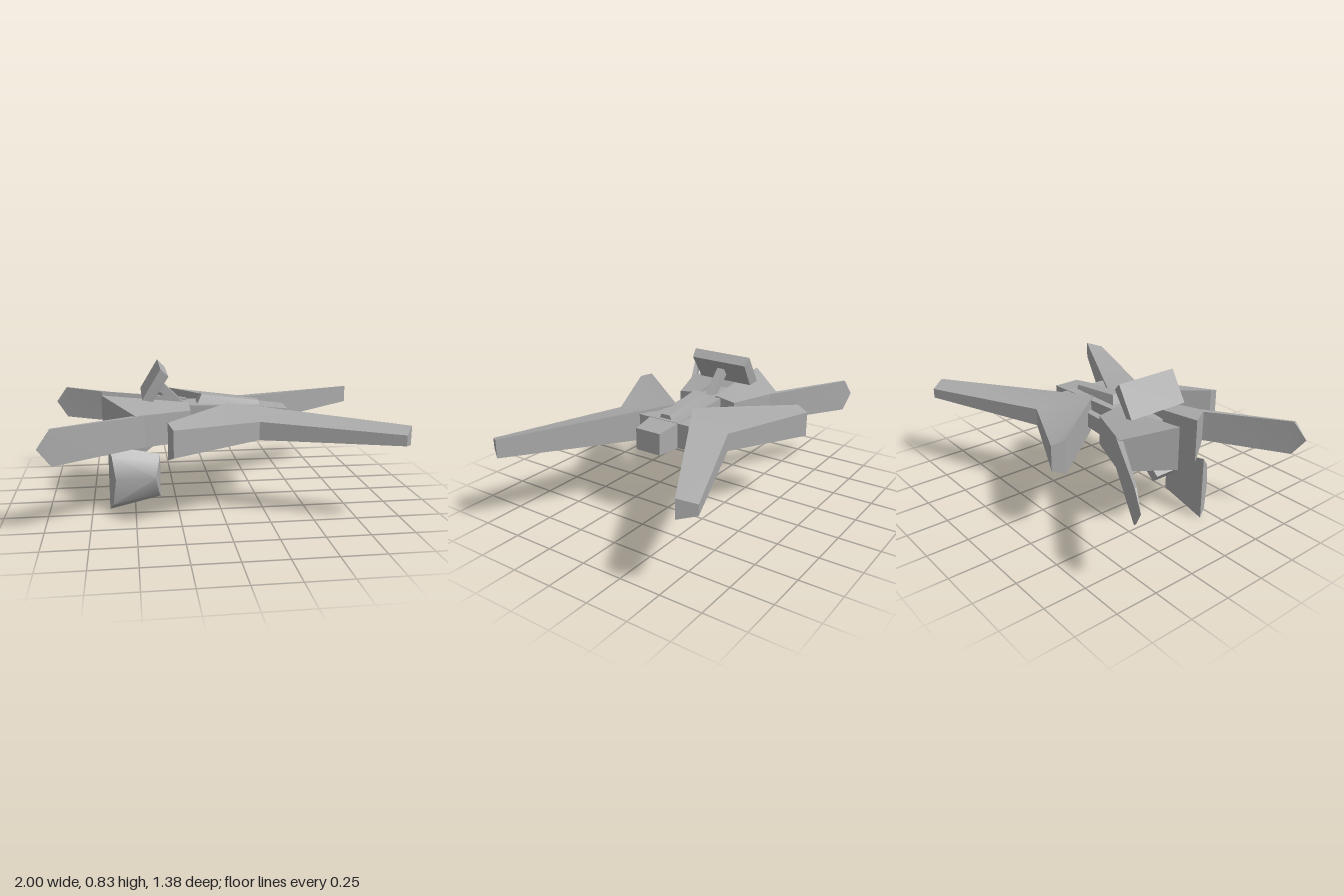
import * as THREE from 'three';
import { toCreasedNormals } from 'three/addons/utils/BufferGeometryUtils.js';
import { ConvexGeometry } from 'three/addons/geometries/ConvexGeometry.js';

const CREASE = 0.6;
const hullGrey = new THREE.MeshStandardMaterial({ color: 0xaaaaaa });
hullGrey.name = 'hull grey';

// Plan outline of [x, z, top, bottom] corners, closed with caps and walls; side = -1 mirrors it in z
function slab(outline, side = 1) {
  let pts = outline.map(([x, z, t, b]) => ({ x, z: z * side, t, b }));
  const flat = () => pts.map((p) => new THREE.Vector2(p.x, p.z));
  if (THREE.ShapeUtils.isClockWise(flat())) pts = pts.reverse();
  const pos = [];
  const top = (p) => pos.push(p.x, p.t, p.z);
  const bottom = (p) => pos.push(p.x, p.b, p.z);
  for (const [a, b, c] of THREE.ShapeUtils.triangulateShape(flat(), [])) {
    [c, b, a].forEach((i) => top(pts[i]));
    [a, b, c].forEach((i) => bottom(pts[i]));
  }
  pts.forEach((p, i) => {
    const q = pts[(i + 1) % pts.length];
    bottom(p); top(p); top(q);
    bottom(p); top(q); bottom(q);
  });
  const geo = new THREE.BufferGeometry();
  geo.setAttribute('position', new THREE.Float32BufferAttribute(pos, 3));
  return toCreasedNormals(geo, CREASE);
}

// Convex solid from corner points
function solid(points) {
  const geo = new ConvexGeometry(points.map((p) => new THREE.Vector3(...p)));
  return toCreasedNormals(geo, CREASE);
}

// Each [x, y, halfWidth] gives a mirrored pair of corners
const pairs = (list) => list.flatMap(([x, y, w]) => [[x, y, w], [x, y, -w]]);

// Square bar between two points of the centre plane
function bar([x0, y0], [x1, y1], thickness, width) {
  const geo = new THREE.BoxGeometry(Math.hypot(x1 - x0, y1 - y0), thickness, width);
  geo.rotateZ(Math.atan2(y1 - y0, x1 - x0));
  return geo.translate((x0 + x1) / 2, (y0 + y1) / 2, 0);
}

export function createModel() {
  const model = new THREE.Group();
  const add = (name, geo) => {
    const mesh = new THREE.Mesh(geo, hullGrey);
    mesh.name = name;
    model.add(mesh);
  };

  // Central body
  add('fuselage', solid(pairs([
    [-0.42, 0.58, 0.06], [-0.42, 0.43, 0.06], [-0.17, 0.6, 0.1], [-0.17, 0.41, 0.1],
    [0.28, 0.58, 0.1], [0.28, 0.42, 0.1],
  ])));
  add('nose', solid(pairs([
    [0.26, 0.58, 0.1], [0.26, 0.425, 0.1], [0.43, 0.56, 0.082], [0.43, 0.43, 0.082],
  ])));
  add('crossBody', new THREE.BoxGeometry(0.13, 0.15, 0.35).translate(0.215, 0.503, 0));
  add('canopy', solid(pairs([
    [-0.12, 0.59, 0.06], [-0.09, 0.65, 0.038], [0.26, 0.605, 0.03], [0.26, 0.57, 0.045],
  ])));

  for (const side of [1, -1]) {
    const label = side > 0 ? 'front' : 'back';
    // Boomerang wing, thick on the inner edge
    add(label + 'Wing', slab([
      [-0.325, 0.55, 0.605, 0.4], [-0.3, 0.625, 0.58, 0.43], [0.2, 0.385, 0.555, 0.45],
      [0.94, 0.69, 0.53, 0.47], [1, 0.6, 0.56, 0.45], [0.07, 0.06, 0.602, 0.4],
    ], side));
    // Rear pod rising to the tail
    add(label + 'Pod', slab([
      [-0.68, 0.065, 0.665, 0.41], [-0.49, 0.32, 0.592, 0.405],
      [-0.17, 0.2, 0.59, 0.41], [-0.17, 0.065, 0.61, 0.41],
    ], side));
    // Thin pointed tail blade
    add(label + 'Blade', slab([
      [-1, 0.612, 0.5, 0.499], [-0.93, 0.578, 0.6, 0.4], [-0.42, 0.25, 0.588, 0.41],
      [-0.42, 0.29, 0.588, 0.41], [-0.93, 0.592, 0.6, 0.4],
    ], side));
    // Side rod joining pod and wing
    add(label + 'SideRod', slab([
      [-0.2, 0.135, 0.55, 0.45], [-0.2, 0.178, 0.55, 0.45],
      [0.17, 0.155, 0.54, 0.46], [0.17, 0.11, 0.54, 0.46],
    ], side));
  }

  // Raised tail panel on its arm
  add('upperArm', bar([-0.36, 0.73], [-0.19, 0.56], 0.05, 0.05));
  add('upperPanel', solid(pairs([
    [-0.34, 0.833, 0.198], [-0.447, 0.657, 0.198],
    [-0.295, 0.788, 0.19], [-0.385, 0.642, 0.183],
  ])));

  // Lower strut and the detached side plate
  add('lowerStrut', bar([-0.25, 0.49], [-0.515, 0.285], 0.055, 0.15));
  add('lowerPlate', solid([
    [-0.65, 0.387, 0.168], [-0.35, 0.328, 0.168], [-0.35, 0.07, 0.168], [-0.65, 0, 0.168],
    [-0.63, 0.33, 0.218], [-0.36, 0.29, 0.205], [-0.36, 0.1, 0.205], [-0.63, 0.04, 0.218],
    [-0.61, 0.2, 0.253], [-0.38, 0.2, 0.24],
  ]));

  return model;
}
